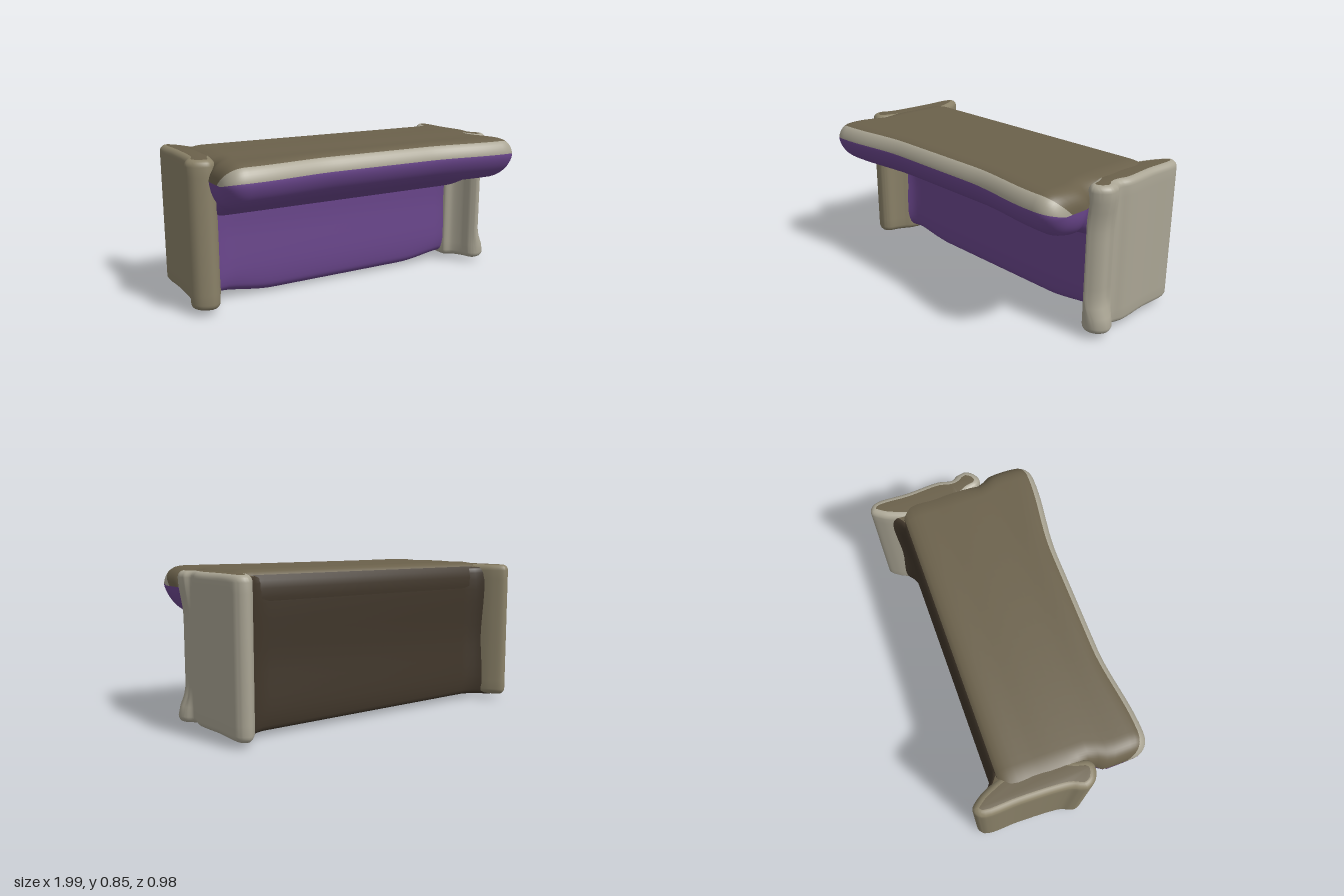
import * as THREE from 'three';
import { toCreasedNormals } from 'three/addons/utils/BufferGeometryUtils.js';

const mat = (color) => new THREE.MeshStandardMaterial({ color });
const cream = mat(0xaaa594), tan = mat(0x8a8168), brown = mat(0x6b614b);
const dark = mat(0x40362a), purple = mat(0x6a468c);
const { smoothstep: smooth, lerp } = THREE.MathUtils;
const STEPS = 6;

// Smooth closed outline through a few 2D points
function outline(points) {
  const curve = new THREE.CatmullRomCurve3(points.map(([a, b]) => new THREE.Vector3(a, b, 0)), true);
  return curve.getPoints(points.length * STEPS).slice(0, -1);
}

// Sweep a closed (z, y) outline along x; bands = [first point, last point, material]
function loft(name, points, stations, place, bands) {
  const ring = outline(points), n = ring.length;
  const positions = [], index = [], materials = [];
  const geometry = new THREE.BufferGeometry();
  for (const x of stations) for (const p of ring) positions.push(...place(x, p.x, p.y));
  bands.forEach(([from, to, material], m) => {
    const start = index.length;
    for (let i = 0; i < stations.length - 1; i++) {
      for (let j = from * STEPS; j < to * STEPS; j++) {
        const a = i * n + j, b = i * n + (j + 1) % n;
        index.push(a, b, a + n, b, b + n, a + n);
      }
    }
    geometry.addGroup(start, index.length - start, m);
    materials.push(material);
  });
  geometry.setAttribute('position', new THREE.Float32BufferAttribute(positions, 3));
  geometry.setIndex(index);
  geometry.computeVertexNormals();
  const mesh = new THREE.Mesh(geometry, materials);
  mesh.name = name;
  return mesh;
}

// Counter top with a soft, drooping front lip and rounded ends
function counterTop() {
  const points = [
    [-0.32, 0.83], [-0.1, 0.855], [0.2, 0.852], [0.395, 0.842], [0.437, 0.77], [0.412, 0.69],
    [0.34, 0.625], [0.18, 0.575], [0.03, 0.51], [-0.09, 0.49], [-0.31, 0.6],
  ];
  const half = 0.925, round = 0.12, stations = [];
  for (let i = 0; i <= 60; i++) {
    const t = i / 30 - 1, a = Math.abs(t);
    // stations crowd together toward the ends
    const x = a < 0.6 ? (a / 0.6) * (half - round)
      : half - round + round * Math.sin(((a - 0.6) / 0.4) * Math.PI / 2);
    stations.push(Math.sign(t) * x);
  }
  const place = (x, z, y) => {
    const u = Math.max(0, (Math.abs(x) - (half - round)) / round);
    const cap = Math.max(0, 1 - u ** 2.5) ** 0.45;
    // only the overhanging lip closes; the rest sinks into the end panels
    const k = lerp(1 - 0.22 * u * u, cap, smooth(z, 0.05, 0.18));
    const front = smooth(z, 0.1, 0.42);
    const wave = 0.05 * smooth(Math.abs(x), 0.3, 0.8) * front;
    return [
      x * (0.95 + 0.05 * smooth(z, 0.15, 0.26)),
      0.745 + (y - 0.745) * k,
      z + wave - 0.11 * (1 - k) * front,
    ];
  };
  return loft('counterTop', points, stations, place,
    [[0, 3, brown], [3, 4, cream], [4, 10, purple], [10, 11, dark]]);
}

// Closed body: front panel, flat underside and recessed back, curving out into the end panels
function body() {
  const points = [
    [-0.31, 0.825], [-0.1, 0.815], [-0.02, 0.75], [-0.01, 0.4], [-0.01, 0.1], [-0.03, 0.035],
    [-0.11, 0.004], [-0.2, 0.025], [-0.315, 0.033], [-0.333, 0.06], [-0.33, 0.4], [-0.333, 0.79],
  ];
  const stations = Array.from({ length: 41 }, (_, i) => (i / 20 - 1) * 0.87);
  const place = (x, z, y) => {
    const a = Math.abs(x);
    const lift = 0.04 * smooth(a, 0.45, 0.82) * (1 - smooth(y, 0.02, 0.2)) * smooth(z, -0.3, -0.12);
    const backFlare = 0.105 * Math.max(0, (a - 0.72) / 0.15) ** 2 * smooth(-z, 0.2, 0.32);
    const frontFlare = 0.08 * Math.max(0, (a - 0.72) / 0.15) ** 2 * smooth(z, -0.12, -0.03);
    return [x, y + lift, z - backFlare + frontFlare];
  };
  return loft('body', points, stations, place,
    [[0, 1, brown], [1, 6, purple], [6, 12, dark]]);
}

// End panel with a thick post at the front; the left post has a waist and a deep groove behind it
function endPanel(side) {
  const isLeft = side > 0;
  const outer = isLeft
    ? [[0.965, -0.06], [0.95, 0.02], [0.985, 0.06], [0.995, 0.11], [0.96, 0.16]]
    : [[0.962, -0.06], [0.972, 0.02], [0.99, 0.06], [0.998, 0.1], [0.97, 0.15]];
  const inner = isLeft
    ? [[0.84, 0.09], [0.805, 0.035], [0.76, 0.005], [0.755, -0.1]]
    : [[0.84, 0.09], [0.82, 0.045], [0.8, 0.01], [0.78, -0.1]];
  const plan = [
    [0.95, -0.46], [0.955, -0.25], ...outer, [0.9, 0.175], [0.86, 0.15],
    ...inner, [0.785, -0.28], [0.815, -0.37], [0.85, -0.44], [0.9, -0.49],
  ];
  const shape = new THREE.Shape(outline(plan.map(([x, z]) => [x * side, -z]))
    .map((p) => new THREE.Vector2(p.x, p.y)));
  const bevel = 0.035, bottom = 0.033, top = 0.842;
  const geometry = new THREE.ExtrudeGeometry(shape, {
    depth: top - bottom - 2 * bevel, steps: 14,
    bevelSize: bevel, bevelThickness: bevel, bevelOffset: -bevel, bevelSegments: 5,
  });
  geometry.rotateX(-Math.PI / 2);
  geometry.translate(0, bottom + bevel, 0);
  if (isLeft) {
    // pull the outer side of the post in between its top and foot
    const p = geometry.attributes.position;
    for (let i = 0; i < p.count; i++) {
      const waist = smooth(p.getY(i), 0.07, 0.22) * (1 - 0.6 * smooth(p.getY(i), 0.6, 0.8));
      const pull = 0.045 * waist * smooth(p.getZ(i), 0.02, 0.08) * smooth(p.getX(i), 0.86, 0.96);
      p.setX(i, p.getX(i) - pull);
    }
  }
  const mesh = new THREE.Mesh(toCreasedNormals(geometry, 0.9), [brown, isLeft ? cream : tan]);
  mesh.name = isLeft ? 'leftEndPanel' : 'rightEndPanel';
  return mesh;
}

export function createModel() {
  const group = new THREE.Group();
  group.name = 'counter';
  group.add(counterTop(), body(), endPanel(1), endPanel(-1));
  return group;
}
